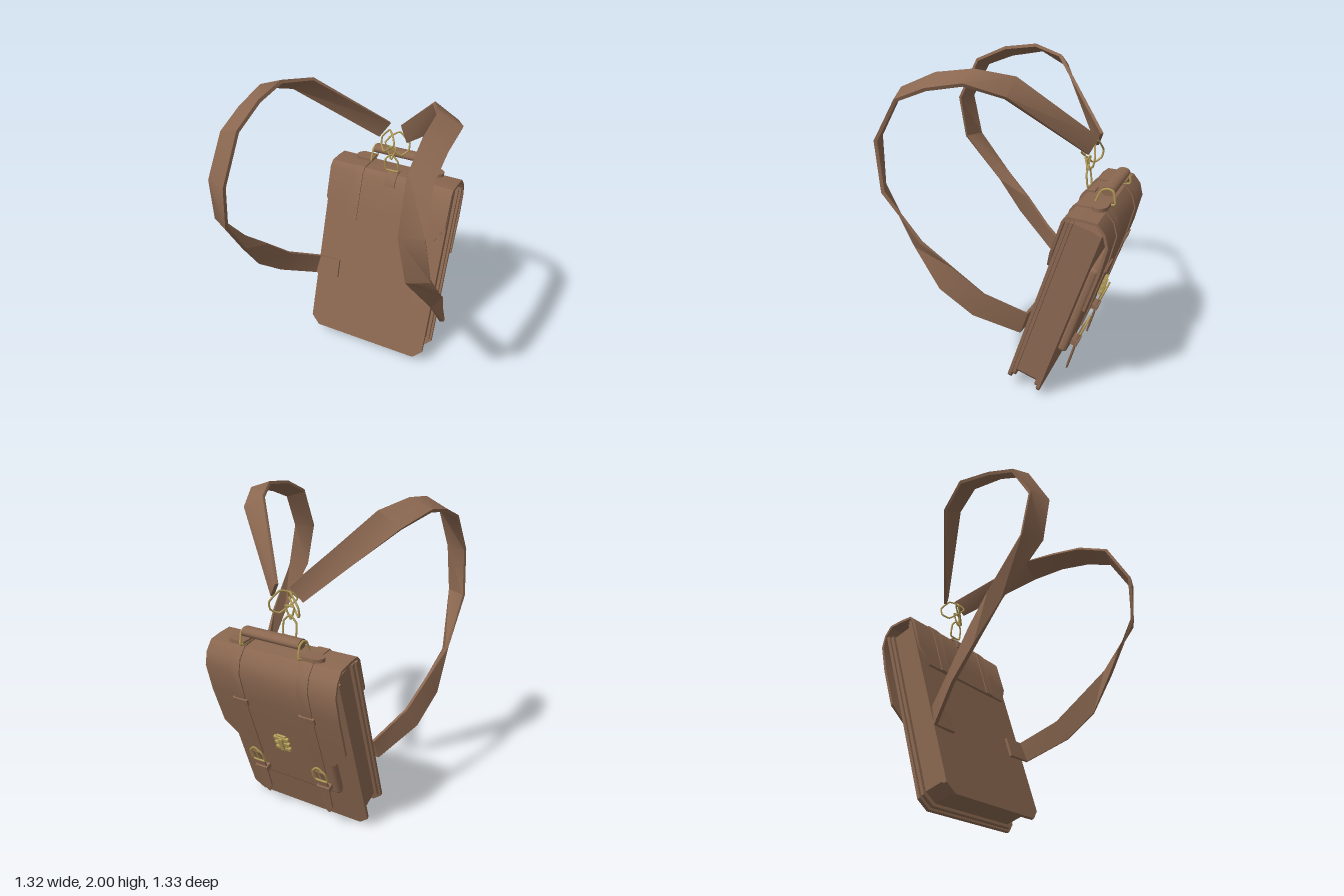
import * as THREE from 'three';
import { toCreasedNormals } from 'three/addons/utils/BufferGeometryUtils.js';
import { RoundedBoxGeometry } from 'three/addons/geometries/RoundedBoxGeometry.js';

const leather = new THREE.MeshStandardMaterial({ color: 0x8a6750 });
leather.name = 'brown leather';
const brass = new THREE.MeshStandardMaterial({ color: 0xb39c58 });
brass.name = 'brass';

const V = (p) => new THREE.Vector3(...p);

function add(parent, name, geometry, material = leather, x = 0, y = 0, z = 0) {
  const mesh = new THREE.Mesh(geometry, material);
  mesh.name = name;
  mesh.position.set(x, y, z);
  parent.add(mesh);
  return mesh;
}

// Flat band with thickness, spanned between two edge paths
function ribbon(edgeA, edgeB, thickness) {
  const a = edgeA.map(V), b = edgeB.map(V), last = a.length - 1;
  const mid = a.map((p, i) => p.clone().add(b[i]).multiplyScalar(0.5));
  const pos = [], idx = [];
  a.forEach((p, i) => {
    const t = mid[Math.min(i + 1, last)].clone().sub(mid[Math.max(i - 1, 0)]);
    const n = t.cross(b[i].clone().sub(p)).normalize().multiplyScalar(thickness / 2);
    for (const c of [p.clone().add(n), b[i].clone().add(n), b[i].clone().sub(n), p.clone().sub(n)])
      pos.push(c.x, c.y, c.z);
  });
  for (let i = 0; i < last; i++)
    for (let k = 0; k < 4; k++) {
      const p = i * 4 + k, q = i * 4 + (k + 1) % 4;
      idx.push(p, p + 4, q + 4, p, q + 4, q);
    }
  const e = last * 4;
  idx.push(0, 1, 2, 0, 2, 3, e, e + 2, e + 1, e, e + 3, e + 2);
  const g = new THREE.BufferGeometry();
  g.setAttribute('position', new THREE.Float32BufferAttribute(pos, 3));
  g.setIndex(idx);
  return toCreasedNormals(g, 0.6);
}

// Band running in the y-z plane: rows of [y, z, half width]
const band = (rows, x, thickness) => ribbon(
  rows.map(([y, z, w]) => [x + w, y, z]), rows.map(([y, z, w]) => [x - w, y, z]), thickness);

// Closed or open wire through points
function wire(points, radius = 0.006, closed = true) {
  const curve = new THREE.CatmullRomCurve3(points.map(V), closed, 'catmullrom', 0.2);
  return new THREE.TubeGeometry(curve, 32, radius, 6, closed);
}

// Upright panel with clipped lower corners
function panel(w, bottom, top, cut, depth) {
  const s = new THREE.Shape();
  s.moveTo(-w + cut, bottom);
  s.lineTo(w - cut, bottom);
  s.lineTo(w, bottom + cut);
  s.lineTo(w, top);
  s.lineTo(-w, top);
  s.lineTo(-w, bottom + cut);
  return new THREE.ExtrudeGeometry(s, { depth, bevelEnabled: false });
}

function buildBag() {
  const bag = new THREE.Group();
  bag.name = 'bag';
  bag.position.set(-0.015, 0.07, -0.04);
  bag.rotation.set(-0.314, 0, -0.01);

  // Case: two panels, bindings and an inset gusset
  add(bag, 'frontPanel', panel(0.43, 0, 1.2, 0.06, 0.02), leather, 0, 0, -0.02);
  add(bag, 'backPanel', panel(0.43, 0, 1.2, 0.06, 0.02), leather, 0, 0, -0.215);
  add(bag, 'frontBinding', panel(0.415, 0.015, 1.195, 0.06, 0.02), leather, 0, 0, -0.04);
  add(bag, 'backBinding', panel(0.415, 0.015, 1.195, 0.06, 0.02), leather, 0, 0, -0.195);
  add(bag, 'gusset', panel(0.395, 0.035, 1.19, 0.06, 0.135), leather, 0, 0, -0.175);

  // Flap folding over the top from front to back
  const fold = [[1.19, 0.014], [1.222, -0.005], [1.245, -0.09], [1.258, -0.165],
    [1.22, -0.222], [1.155, -0.262], [0.98, -0.276]];
  add(bag, 'flap', band([
    [0.86, 0.014, 0.365], [0.975, 0.014, 0.43],
    ...fold.map(([y, z]) => [y, z, 0.43]),
    [0.72, -0.277, 0.425], [0.6, -0.277, 0.33]], 0, 0.016));

  // Rear pocket
  add(bag, 'pocket', new RoundedBoxGeometry(0.62, 0.63, 0.06, 3, 0.025), leather, 0, 0.615, -0.238);

  // Straps over the flap, with keepers, buckles and hanging tips
  for (const x of [-0.225, 0.225]) {
    add(bag, 'closingStrap', band([
      [0.86, 0.024, 0.036],
      ...fold.map(([y, z], i) => [y + [0, 0.01, 0.011, 0.01, 0.008, 0.004, 0][i],
        z + [0.011, 0.006, 0, -0.002, -0.008, -0.011, -0.011][i], 0.036]),
      [0.62, -0.288, 0.036], [0.5, -0.285, 0.03]], x, 0.008));
    add(bag, 'strapTip', band([[0.53, -0.308, 0.022], [0.46, -0.296, 0.03], [0.38, -0.296, 0.034],
      [0.21, -0.303, 0.032], [0.15, -0.306, 0.008]], x, 0.01));
    add(bag, 'upperKeeper', new THREE.BoxGeometry(0.1, 0.045, 0.028), leather, x, 0.95, -0.286);
    add(bag, 'lowerKeeper', new THREE.BoxGeometry(0.085, 0.035, 0.045), leather, x, 0.375, -0.29);
    add(bag, 'buckle', wire([[x - 0.042, 0.45, -0.305], [x - 0.042, 0.53, -0.312], [x, 0.575, -0.314],
      [x + 0.042, 0.53, -0.312], [x + 0.042, 0.45, -0.305]], 0.007));
    add(bag, 'bucklePin', wire([[x, 0.455, -0.306], [x, 0.57, -0.318]], 0.004, false), brass);
  }
  bag.children.filter((m) => m.name === 'buckle').forEach((m) => { m.material = brass; });

  // Latch
  add(bag, 'latchPlate', new THREE.BoxGeometry(0.06, 0.12, 0.014), brass, 0, 0.68, -0.29);
  for (const y of [0.64, 0.68, 0.72])
    add(bag, 'latchBar', new THREE.BoxGeometry(0.1, 0.02, 0.018), brass, 0, y, -0.295);
  add(bag, 'latchKnob', new THREE.BoxGeometry(0.025, 0.09, 0.02), brass, 0, 0.68, -0.303);

  // Hanging tab on the front of the flap
  add(bag, 'ringTab', band([[1.15, 0.027, 0.035], [1.195, 0.028, 0.035], [1.24, 0.004, 0.035],
    [1.255, -0.04, 0.035]], 0.01, 0.01));
  return bag;
}

function buildHandle() {
  const handle = new THREE.Group();
  handle.name = 'carryHandle';
  const grip = new THREE.CylinderGeometry(0.03, 0.03, 0.37, 16);
  grip.rotateZ(Math.PI / 2);
  grip.scale(1, 0.93, 1.4);
  add(handle, 'grip', toCreasedNormals(grip, 0.7), leather, 0, 1.317, -0.577);

  for (const side of [-1, 1]) {
    const x = 0.19 * side;
    add(handle, 'handleLoop', wire([[x, 1.245, -0.51], [x, 1.32, -0.54], [x, 1.335, -0.577],
      [x, 1.32, -0.61], [x, 1.245, -0.62]], 0.007), brass);
    // Round-ended pad lying on the flap
    const s = new THREE.Shape();
    s.moveTo(0, -0.045);
    s.lineTo(0.08, -0.045);
    s.quadraticCurveTo(0.125, -0.03, 0.125, 0);
    s.quadraticCurveTo(0.125, 0.03, 0.08, 0.045);
    s.lineTo(0, 0.045);
    const pad = new THREE.ExtrudeGeometry(s, { depth: 0.022, bevelEnabled: false });
    pad.rotateX(-Math.PI / 2);
    const mesh = add(handle, 'handlePad', pad, leather, side * 0.185, 1.235, -0.555);
    if (side < 0) mesh.rotation.y = Math.PI;
  }
  return handle;
}

// Edge paths of one shoulder strap, from the clasp down to the front panel
const innerEdge = [[0.04, 1.58, -0.47], [0.37, 1.95, -0.1], [0.46, 1.99, 0.095], [0.47, 1.96, 0.31],
  [0.48, 1.87, 0.515], [0.5, 1.6, 0.662], [0.54, 1.32, 0.64], [0.61, 1.0, 0.42], [0.635, 0.77, 0.265],
  [0.59, 0.61, 0.085], [0.45, 0.465, -0.15], [0.28, 0.465, -0.16]];
const outerEdge = [[0.1, 1.49, -0.43], [0.51, 1.87, -0.1], [0.6, 1.94, 0.095], [0.6, 1.9, 0.31],
  [0.605, 1.83, 0.49], [0.625, 1.6, 0.62], [0.655, 1.32, 0.58], [0.65, 1.05, 0.36], [0.6, 0.9, 0.2],
  [0.54, 0.73, 0.03], [0.43, 0.59, -0.19], [0.28, 0.59, -0.2]];

export function createModel() {
  const model = new THREE.Group();
  model.name = 'satchel';
  model.add(buildBag(), buildHandle());

  const mirror = (pts) => pts.map(([x, y, z]) => [-x, y, z]);
  add(model, 'leftShoulderStrap', ribbon(innerEdge, outerEdge, 0.02));
  add(model, 'rightShoulderStrap', ribbon(mirror(outerEdge), mirror(innerEdge), 0.02));

  // Clasp links joining both straps to the central ring
  const link = [[0.035, 1.56, -0.45], [0.095, 1.49, -0.47], [0.095, 1.44, -0.46], [0.06, 1.415, -0.42],
    [-0.03, 1.5, -0.37], [-0.01, 1.54, -0.4]].map(([x, y, z]) => [x, y - 0.02, z]);
  add(model, 'leftLink', wire(link), brass);
  add(model, 'rightLink', wire(mirror(link)), brass);
  add(model, 'claspHook', wire([[-0.03, 1.44, -0.41], [0, 1.36, -0.4], [0.03, 1.44, -0.41]]), brass);
  add(model, 'claspRing', wire([[0, 1.39, -0.41], [0.042, 1.35, -0.41], [0.042, 1.27, -0.42],
    [-0.042, 1.27, -0.42], [-0.042, 1.35, -0.41]]), brass);
  return model;
}
